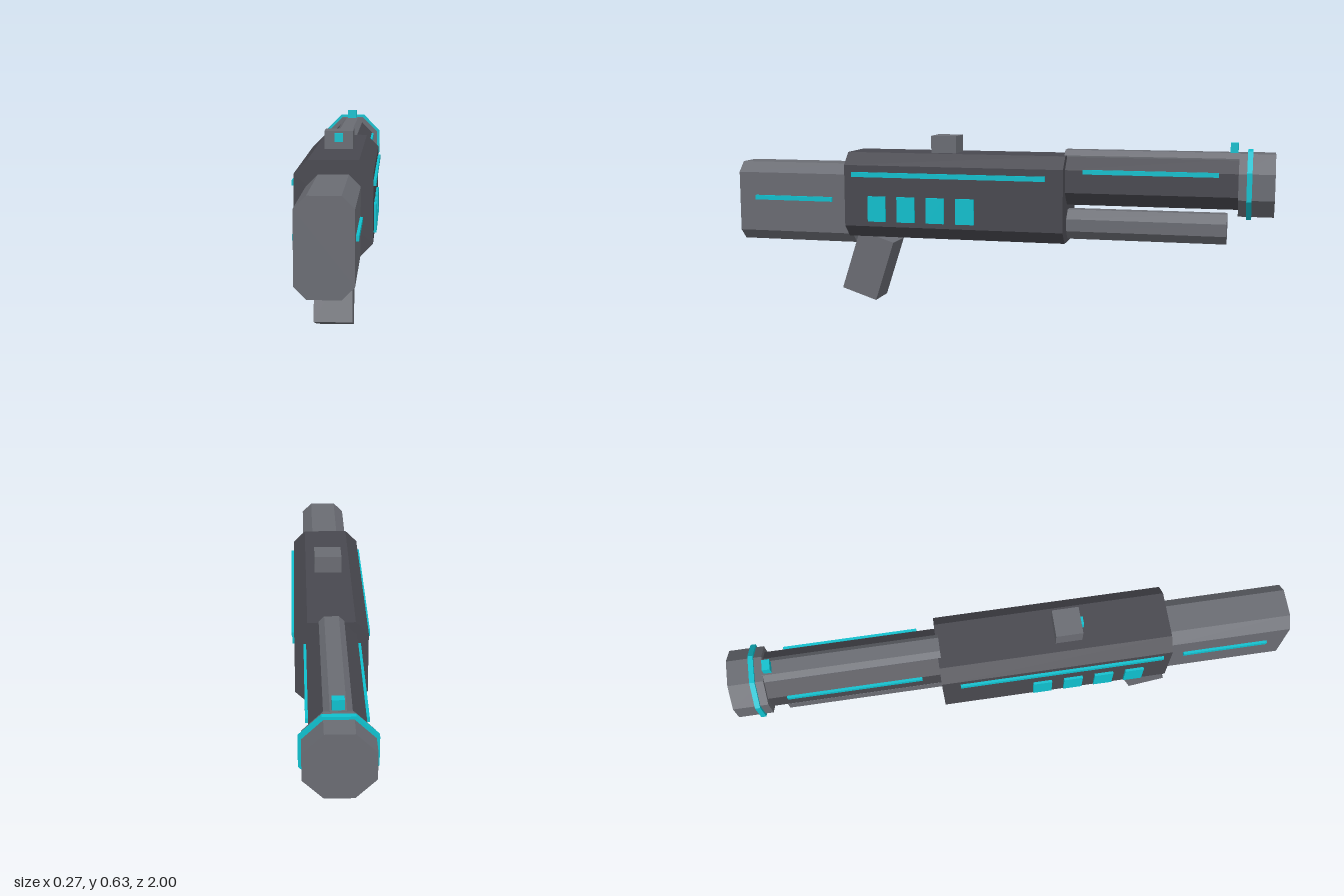
import * as THREE from 'three';

const material = (name, color) => {
  const m = new THREE.MeshStandardMaterial({ color });
  m.name = name;
  return m;
};

export function createModel() {
  const model = new THREE.Group();
  model.name = 'sciFiRifle';
  const dark = material('dark gunmetal', 0x48484f);
  const grey = material('steel grey', 0x6a6c73);
  const teal = material('glowing teal', 0x0fc0ce);

  const add = (name, geometry, mat) => {
    const mesh = new THREE.Mesh(geometry, mat);
    mesh.name = name;
    model.add(mesh);
    return mesh;
  };

  // Box given by its limits on each axis
  const box = (name, mat, [x0, x1], [y0, y1], [z0, z1]) =>
    add(name, new THREE.BoxGeometry(x1 - x0, y1 - y0, z1 - z0), mat)
      .position.set((x0 + x1) / 2, (y0 + y1) / 2, (z0 + z1) / 2);

  // Prism along z with a chamfered rectangular section
  const prism = (name, mat, w, [y0, y1], [z0, z1], c) => {
    const shape = new THREE.Shape([
      [-w + c, y0], [w - c, y0], [w, y0 + c], [w, y1 - c],
      [w - c, y1], [-w + c, y1], [-w, y1 - c], [-w, y0 + c],
    ].map(([x, y]) => new THREE.Vector2(x, y)));
    const geometry = new THREE.ExtrudeGeometry(shape, { depth: z1 - z0, bevelEnabled: false });
    add(name, geometry.translate(0, 0, z0), mat);
  };

  // Main masses
  prism('receiver', dark, 0.128, [0.25, 0.567], [-0.27, 0.555], 0.045);
  prism('stock', grey, 0.088, [0.22, 0.52], [0.54, 1], 0.038);
  prism('barrel', dark, 0.088, [0.388, 0.566], [-0.885, -0.26], 0.048);
  prism('barrelRail', grey, 0.044, [0.53, 0.586], [-0.88, -0.26], 0.019);
  prism('underTube', grey, 0.054, [0.26, 0.368], [-0.84, -0.26], 0.032);

  // Muzzle with its glowing band
  prism('muzzle', grey, 0.11, [0.365, 0.585], [-1, -0.877], 0.0645);
  prism('muzzleRing', teal, 0.12, [0.355, 0.595], [-0.923, -0.905], 0.07);

  // Slanted grip
  const slant = Math.atan2(0.043, 0.133);
  const grip = add('grip', new THREE.BoxGeometry(0.126, 0.236, 0.14), grey);
  grip.rotation.x = -slant;
  grip.position.set(0, 0.134, 0.492);

  // Sights
  box('rearSight', grey, [-0.05, 0.05], [0.56, 0.63], [0.145, 0.24]);
  box('rearSightLens', teal, [-0.015, 0.015], [0.592, 0.622], [0.24, 0.249]);
  box('frontSight', teal, [-0.019, 0.019], [0.58, 0.62], [-0.872, -0.845]);

  // Glowing strips and cells, mirrored on both sides
  for (const [side, s] of [['left', 1], ['right', -1]]) {
    const plate = (name, x, y, z) =>
      box(side + name, teal, s > 0 ? [x, x + 0.009] : [-x - 0.009, -x], y, z);
    plate('ReceiverStrip', 0.128, [0.479, 0.497], [-0.205, 0.525]);
    plate('StockStrip', 0.088, [0.378, 0.395], [0.62, 0.932]);
    plate('BarrelStrip', 0.088, [0.505, 0.521], [-0.81, -0.335]);
    for (let i = 0; i < 4; i++) {
      const z = 0.428 - i * 0.1125;
      plate('PowerCell' + (i + 1), 0.128, [0.314, 0.408], [z - 0.034, z + 0.034]);
    }
  }
  return model;
}
